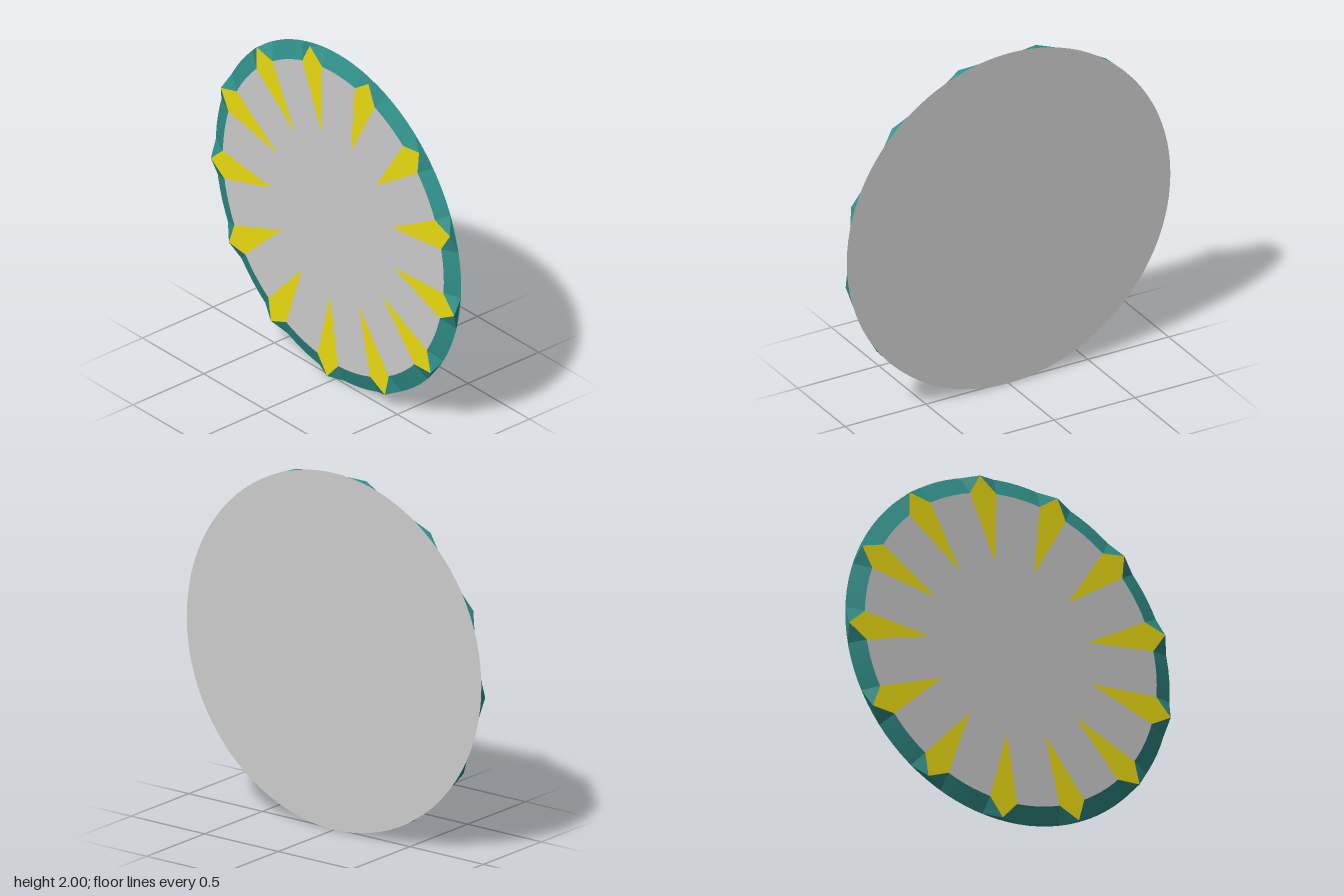
import * as THREE from 'three';

const BACK = -0.018, FRONT = 0.018, OUTER = 1, INNER = 0.9, SEGMENTS = 96;
const COUNT = 13, FIRST = THREE.MathUtils.degToRad(101);

const material = (color, flatShading = false) =>
  new THREE.MeshStandardMaterial({ color, flatShading });

// Point at a given radius and angle around the disc centre
const polar = (r, a, z) => [r * Math.cos(a), r * Math.sin(a), z];

function triangles(corners) {
  const geometry = new THREE.BufferGeometry();
  geometry.setAttribute('position', new THREE.Float32BufferAttribute(corners.flat(), 3));
  geometry.computeVertexNormals();
  return geometry;
}

export function createModel() {
  const group = new THREE.Group();
  const grey = material(0xcccccc);
  const teal = material(0x30908a);
  const tealFlat = material(0x30908a, true);
  const yellow = material(0xebdc12, true);
  const add = (name, geometry, mat, parent = group) => {
    const mesh = new THREE.Mesh(geometry, mat);
    mesh.name = name;
    parent.add(mesh);
    return mesh;
  };

  // Flat faces of the disc
  add('frontFace', new THREE.CircleGeometry(INNER, SEGMENTS), grey).position.z = FRONT;
  const back = add('backFace', new THREE.CircleGeometry(OUTER, SEGMENTS), grey);
  back.rotation.y = Math.PI;
  back.position.z = BACK;

  // Sloping rim
  const rim = new THREE.CylinderGeometry(INNER, OUTER, FRONT - BACK, SEGMENTS, 1, true);
  rim.rotateX(Math.PI / 2);
  add('bevelledRim', rim, teal);

  // Pointed blades: a kite on the front, with facets falling to the rim's back edge
  const z = FRONT + 0.001;
  const tip = polar(OUTER, 0, z);
  const inner = polar(0.5, 0, z);
  const shoulderL = polar(INNER, 0.093, z);
  const shoulderR = polar(INNER, -0.093, z);
  const footL = polar(OUTER, 0.106, BACK);
  const footR = polar(OUTER, -0.106, BACK);
  const kite = triangles([tip, shoulderL, inner, tip, inner, shoulderR]);
  const sides = triangles([
    tip, footL, shoulderL,
    tip, shoulderR, footR,
    tip, footR, footL,
  ]);
  for (let i = 0; i < COUNT; i++) {
    const blade = new THREE.Group();
    blade.name = `blade${i + 1}`;
    blade.rotation.z = FIRST + (i * 2 * Math.PI) / COUNT;
    add('bladeFace', kite, yellow, blade);
    add('bladeSides', sides, tealFlat, blade);
    group.add(blade);
  }

  group.position.y = 1;
  const model = new THREE.Group();
  group.name = 'bladedDisc';
  model.add(group);
  return model;
}
